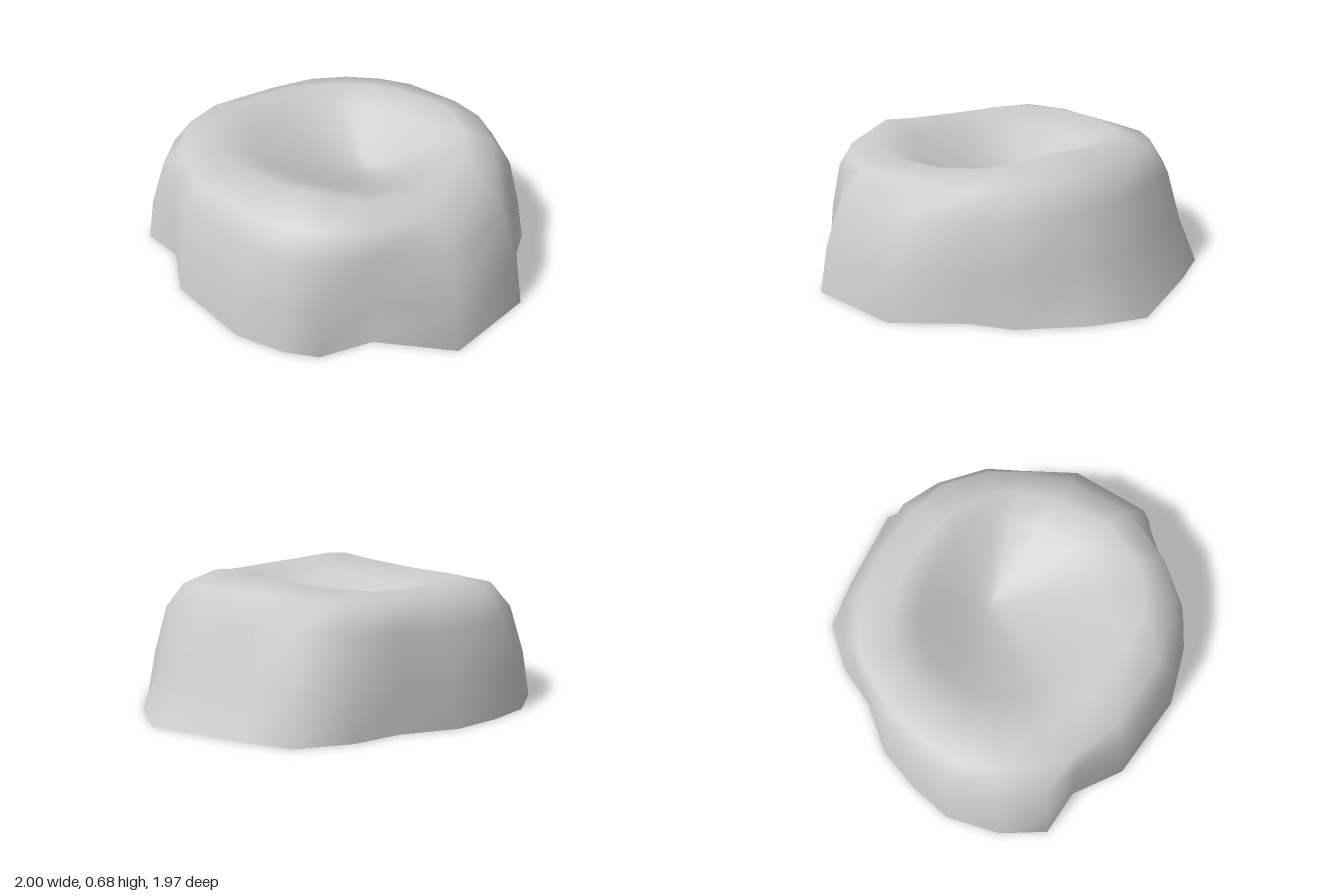
import * as THREE from 'three';

// Outline on the ground (x, z), clockwise from the back as seen from above
const FOOT = [
  [0.2, -0.99], [0.44, -0.84], [0.68, -0.61], [0.77, -0.42], [1, -0.14], [1, 0.34], [0.68, 0.57],
  [0.58, 0.81], [0.44, 0.9], [0.2, 0.98], [-0.27, 0.96], [-0.52, 0.81], [-0.76, 0.81], [-0.91, 0.61],
  [-1, 0.34], [-0.98, 0.1], [-0.92, -0.14], [-0.76, -0.38], [-0.68, -0.61], [-0.52, -0.83], [-0.27, -0.9],
];

// Radius and height every 30 degrees, clockwise from the back
const SHOULDER_RADIUS = [0.64, 0.7, 0.72, 0.75, 0.84, 0.84, 0.82, 0.86, 0.88, 0.8, 0.77, 0.7];
const SHOULDER_HEIGHT = [0.62, 0.6, 0.57, 0.58, 0.58, 0.57, 0.57, 0.56, 0.6, 0.56, 0.58, 0.6];
const CREST_RADIUS = [0.47, 0.52, 0.57, 0.6, 0.69, 0.7, 0.62, 0.68, 0.71, 0.65, 0.6, 0.52];
const CREST_HEIGHT = [0.66, 0.68, 0.63, 0.61, 0.62, 0.68, 0.62, 0.61, 0.63, 0.62, 0.61, 0.64];

const FLOOR = [0, 0.36, -0.08];
const { lerp, smoothstep } = THREE.MathUtils;

// Value of a 12-step table at any angle
function sample(table, angle) {
  const s = (angle / (2 * Math.PI)) * table.length;
  const i = Math.floor(s);
  return lerp(table[i % table.length], table[(i + 1) % table.length], s - i);
}

// Points of one spoke from the foot, over the rim, down into the hollow
function spokePoints([fx, fz]) {
  const angle = (Math.atan2(fx, -fz) + 2 * Math.PI) % (2 * Math.PI);
  const at = (radius, y) => [Math.sin(angle) * radius, y, -Math.cos(angle) * radius];
  const shoulder = at(sample(SHOULDER_RADIUS, angle), sample(SHOULDER_HEIGHT, angle));
  const crest = at(sample(CREST_RADIUS, angle), sample(CREST_HEIGHT, angle));

  // The wall bulges outward, but flares into a slope at the back
  const flare = smoothstep(Math.cos(angle), 0.55, 1);
  const wall = (t, h) => [lerp(fx, shoulder[0], t), shoulder[1] * h, lerp(fz, shoulder[2], t)];
  const points = [
    [fx, 0, fz],
    wall(lerp(0.18, 0.42, flare), 0.39),
    wall(lerp(0.52, 0.65, flare), 0.79),
    shoulder,
    crest,
  ];
  for (const t of [0.25, 0.5, 0.75, 0.92]) {
    const drop = smoothstep(t, -0.15, 1.05);
    points.push([lerp(crest[0], FLOOR[0], t), lerp(crest[1], FLOOR[1], drop), lerp(crest[2], FLOOR[2], t)]);
  }
  return points;
}

function makeGeometry(positions, index) {
  const geometry = new THREE.BufferGeometry();
  geometry.setAttribute('position', new THREE.Float32BufferAttribute(positions, 3));
  geometry.setIndex(index);
  geometry.computeVertexNormals();
  return geometry;
}

export function createModel() {
  const group = new THREE.Group();
  const material = new THREE.MeshStandardMaterial({ color: 0xcccccc });
  const columns = FOOT.map(spokePoints);
  const n = columns.length;
  const rings = columns[0].length;

  // Outer wall, rim and hollow as one smooth skin
  const index = [];
  for (let j = 0; j < n; j++) {
    const a = j * rings;
    const b = ((j + 1) % n) * rings;
    for (let i = 0; i < rings - 1; i++) {
      index.push(b + i, a + i, a + i + 1, b + i, a + i + 1, b + i + 1);
    }
    index.push(b + rings - 1, a + rings - 1, n * rings);
  }
  const body = new THREE.Mesh(makeGeometry([...columns.flat(2), ...FLOOR], index), material);
  body.name = 'hollowedRock';
  group.add(body);

  // Flat underside
  const baseIndex = [];
  for (let j = 0; j < n; j++) baseIndex.push(j, (j + 1) % n, n);
  const foot = columns.flatMap((column) => column[0]);
  const base = new THREE.Mesh(makeGeometry([...foot, 0, 0, 0], baseIndex), material);
  base.name = 'underside';
  group.add(base);

  return group;
}
